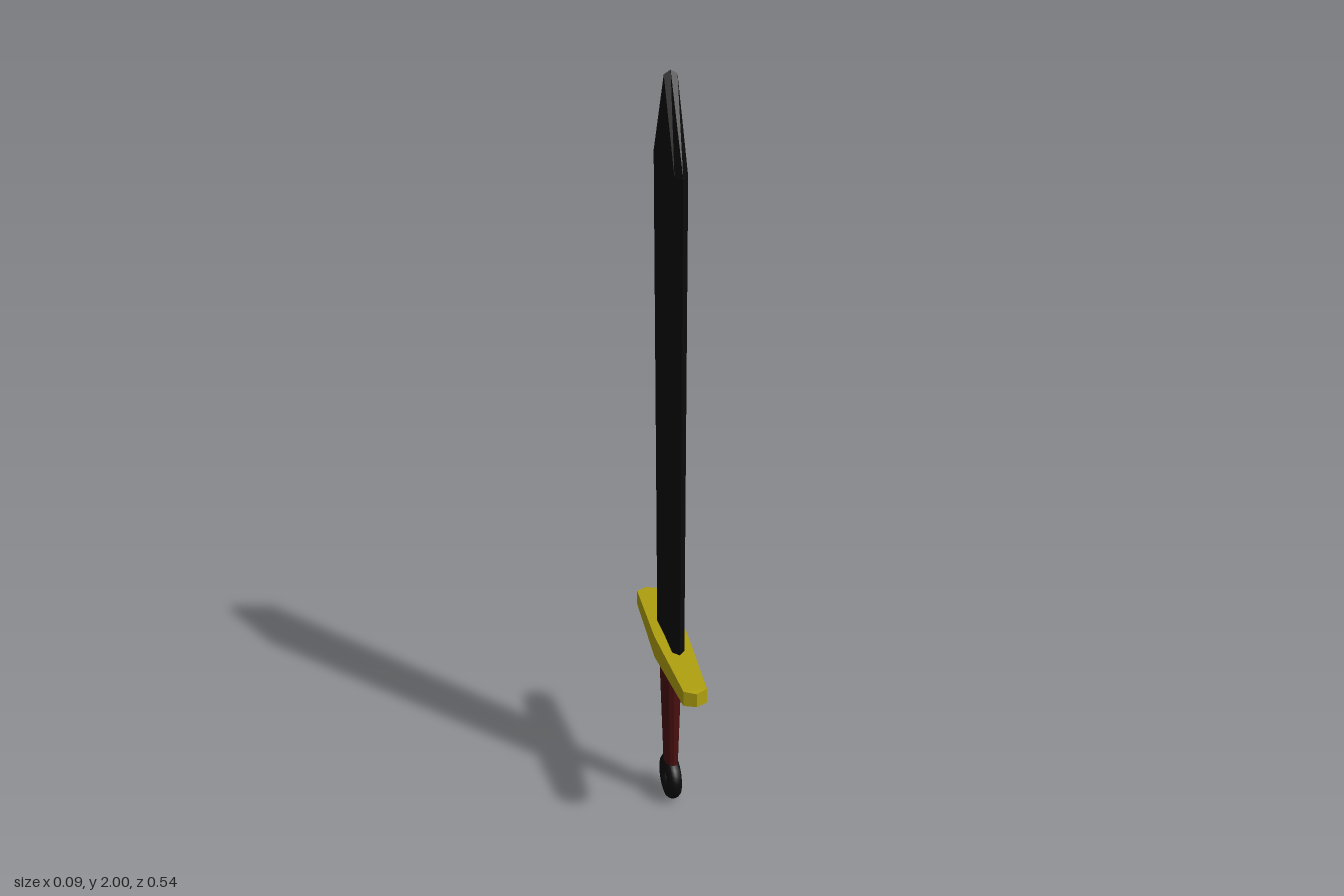
import * as THREE from 'three';

// Skin a run of matching rings and cap both ends (rings anticlockwise about the direction of travel).
function loft(rings) {
  const n = rings[0].length;
  const index = [];
  for (let r = 0; r < rings.length - 1; r++) {
    for (let i = 0; i < n; i++) {
      const a = r * n + i, b = r * n + (i + 1) % n;
      index.push(a, b, b + n, a, b + n, a + n);
    }
  }
  const last = (rings.length - 1) * n;
  for (let i = 1; i < n - 1; i++) {
    index.push(0, i + 1, i, last, last + i, last + i + 1);
  }
  const indexed = new THREE.BufferGeometry();
  indexed.setAttribute('position', new THREE.Float32BufferAttribute(rings.flat(2), 3));
  indexed.setIndex(index);
  const geometry = indexed.toNonIndexed();
  geometry.computeVertexNormals();
  return geometry;
}

export function createModel() {
  const model = new THREE.Group();
  const add = (name, geometry, color, flatShading = true) => {
    const mesh = new THREE.Mesh(geometry, new THREE.MeshStandardMaterial({ color, flatShading }));
    mesh.name = name;
    model.add(mesh);
    return mesh;
  };

  // Blade: bevelled six-sided section, widening upwards, then closing to a point
  const t = 0.016;
  const bladeRing = (y, edge, flat, edgeY = y) => [
    [t, y, flat], [t, y, -flat], [0, edgeY, -edge],
    [-t, y, -flat], [-t, y, flat], [0, edgeY, edge],
  ];
  add('blade', loft([
    bladeRing(0.48, 0.097, 0.08),
    bladeRing(1.78, 0.118, 0.1),
    bladeRing(1.99, 0, 0, 2),
  ]), 0x0a0a0a);

  // Crossguard: bar tapering to wedge-shaped ends
  const guardRing = (z, hx, hy) =>
    [[1, 1], [-1, 1], [-1, -1], [1, -1]].map(([x, y]) => [x * hx, 0.475 + y * hy, z]);
  add('crossguard', loft([
    guardRing(-0.268, 0, 0.019),
    guardRing(-0.252, 0.03, 0.021),
    guardRing(0, 0.043, 0.031),
    guardRing(0.252, 0.03, 0.021),
    guardRing(0.268, 0, 0.019),
  ]), 0xb0a010);

  // Grip: oval section, thinner towards the pommel
  const gripRing = (y, rx, rz) => Array.from({ length: 12 }, (_, i) => {
    const a = (i / 12) * Math.PI * 2;
    return [Math.sin(a) * rx, y, Math.cos(a) * rz];
  });
  add('grip', loft([gripRing(0.11, 0.018, 0.034), gripRing(0.46, 0.03, 0.041)]), 0x4a1010);

  // Ring pommel, facing sideways
  const pommel = add('ringPommel', new THREE.TorusGeometry(0.0425, 0.0205, 12, 32), 0x0a0a0a, false);
  pommel.rotation.y = Math.PI / 2;
  pommel.position.y = 0.063;

  return model;
}
